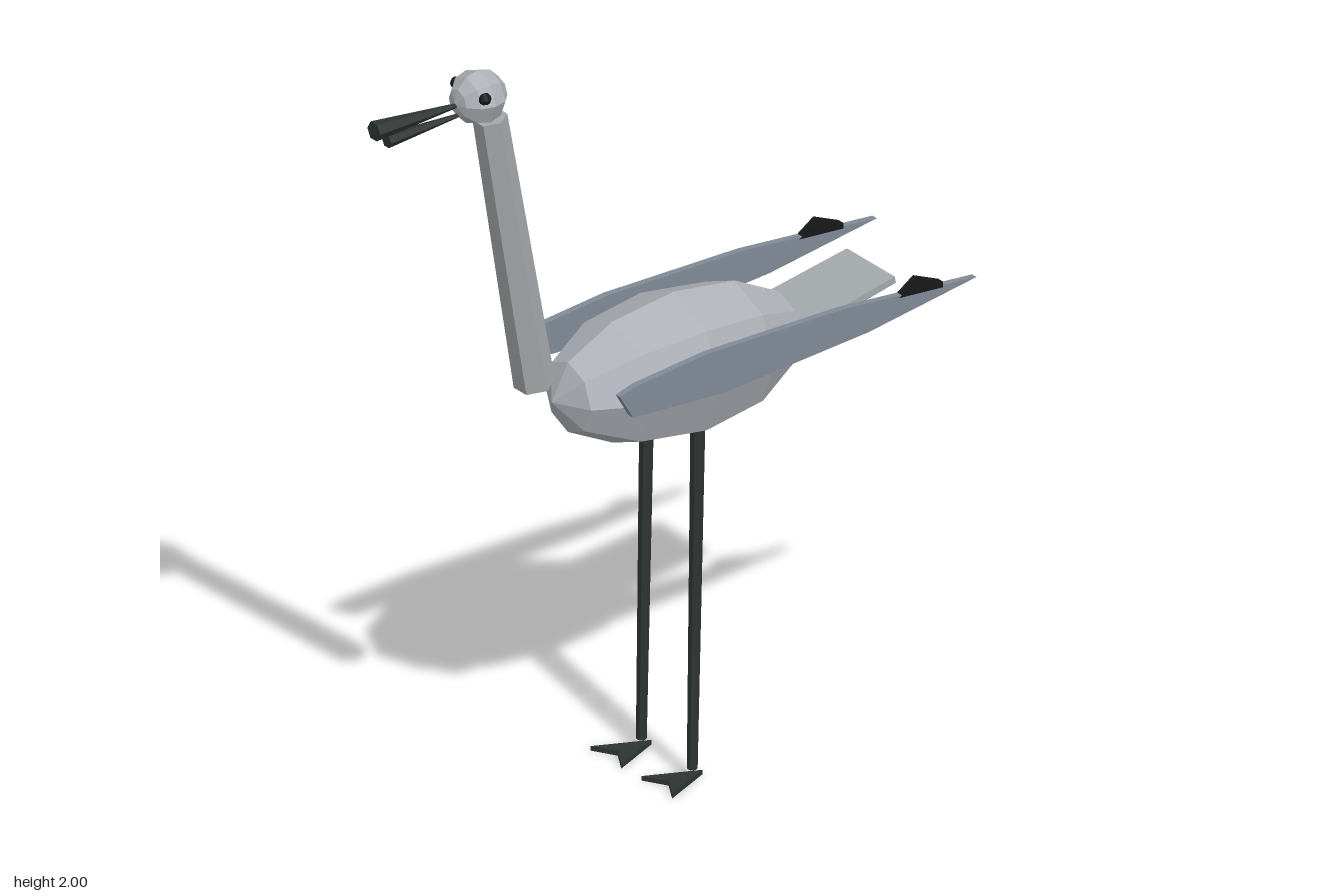
import * as THREE from 'three';

const mat = (name, color) => {
  const m = new THREE.MeshStandardMaterial({ color, flatShading: true });
  m.name = name;
  return m;
};

export function createModel() {
  const group = new THREE.Group();
  const plumage = mat('pale grey plumage', 0xacb0b6);
  const neckGrey = mat('neck and tail grey', 0xa2a7a9);
  const wingGrey = mat('blue grey wing', 0x808997);
  const legDark = mat('dark leg', 0x2d3431);
  const black = mat('black', 0x161817);

  const add = (name, geometry, material, x = 0, y = 0, z = 0) => {
    const mesh = new THREE.Mesh(geometry, material);
    mesh.name = name;
    mesh.position.set(x, y, z);
    group.add(mesh);
    return mesh;
  };

  // Low-poly ball with its poles along z
  const ball = (rx, ry, rz) =>
    new THREE.SphereGeometry(1, 8, 6).rotateX(Math.PI / 2).scale(rx, ry, rz);

  // Six-sided rod between two points, with a radius at each end
  const rod = (name, from, to, rFrom, rTo, material) => {
    const a = new THREE.Vector3(...from), b = new THREE.Vector3(...to);
    const dir = b.clone().sub(a);
    const g = new THREE.CylinderGeometry(rTo, rFrom, dir.length(), 6).rotateY(Math.PI / 6);
    const mesh = add(name, g, material);
    mesh.position.copy(a).lerp(b, 0.5);
    mesh.quaternion.setFromUnitVectors(new THREE.Vector3(0, 1, 0), dir.normalize());
    return mesh;
  };

  // Upright plate from [z, y] points, centred on x = 0
  const plate = (points, thickness) =>
    new THREE.ExtrudeGeometry(
      new THREE.Shape(points.map(([z, y]) => new THREE.Vector2(-z, y))),
      { depth: thickness, bevelEnabled: false }
    ).translate(0, 0, -thickness / 2).rotateY(Math.PI / 2);

  // Body, neck and head
  add('body', ball(0.183, 0.185, 0.362), plumage, 0, 1.055, -0.075);
  rod('neck', [0, 1.12, 0.338], [0, 1.865, 0.47], 0.05, 0.042, neckGrey);
  add('head', ball(0.07, 0.07, 0.07), plumage, 0, 1.93, 0.505);

  // Beak halves widen towards the front
  rod('upperBeak', [0, 1.925, 0.56], [0, 1.93, 0.815], 0.005, 0.025, legDark);
  rod('lowerBeak', [0, 1.898, 0.55], [0, 1.893, 0.777], 0.004, 0.018, legDark);

  // Tail slab, rising and narrowing towards the back
  const tailGeo = new THREE.BoxGeometry(0.2, 0.018, 0.305);
  const p = tailGeo.attributes.position;
  for (let i = 0; i < p.count; i++) p.setX(i, p.getX(i) * (p.getZ(i) < 0 ? 0.94 : 1.02));
  add('tail', tailGeo, neckGrey, 0, 1.103, -0.513).rotation.x = 0.2;

  const wingOutline = [
    [0.238, 1.135], [0.2, 1.07], [-0.07, 1.055], [-0.5, 1.087],
    [-0.82, 1.137], [-0.42, 1.17], [-0.02, 1.172], [0.19, 1.15],
  ];
  const wingTip = [[-0.59, 1.15], [-0.72, 1.14], [-0.72, 1.155], [-0.645, 1.187]];

  for (const [side, s] of [['left', 1], ['right', -1]]) {
    add(side + 'Wing', plate(wingOutline, 0.018), wingGrey, s * 0.196);
    add(side + 'WingTipFeather', plate(wingTip, 0.019), black, s * 0.196);
    add(side + 'Eye', ball(0.014, 0.016, 0.016), black, s * 0.056, 1.951, 0.527);
    rod(side + 'Leg', [s * 0.1, 0.025, -0.055], [s * 0.1, 0.95, -0.072], 0.013, 0.018, legDark);

    // Flat webbed foot with a notch between the toes
    const foot = new THREE.Shape(
      [[0, 0.085], [0.06, -0.05], [0, -0.015], [-0.06, -0.05]].map(q => new THREE.Vector2(...q))
    );
    const footGeo = new THREE.ExtrudeGeometry(foot, { depth: 0.012, bevelEnabled: false });
    add(side + 'Foot', footGeo.rotateX(-Math.PI / 2), legDark, s * 0.1);
  }
  return group;
}
